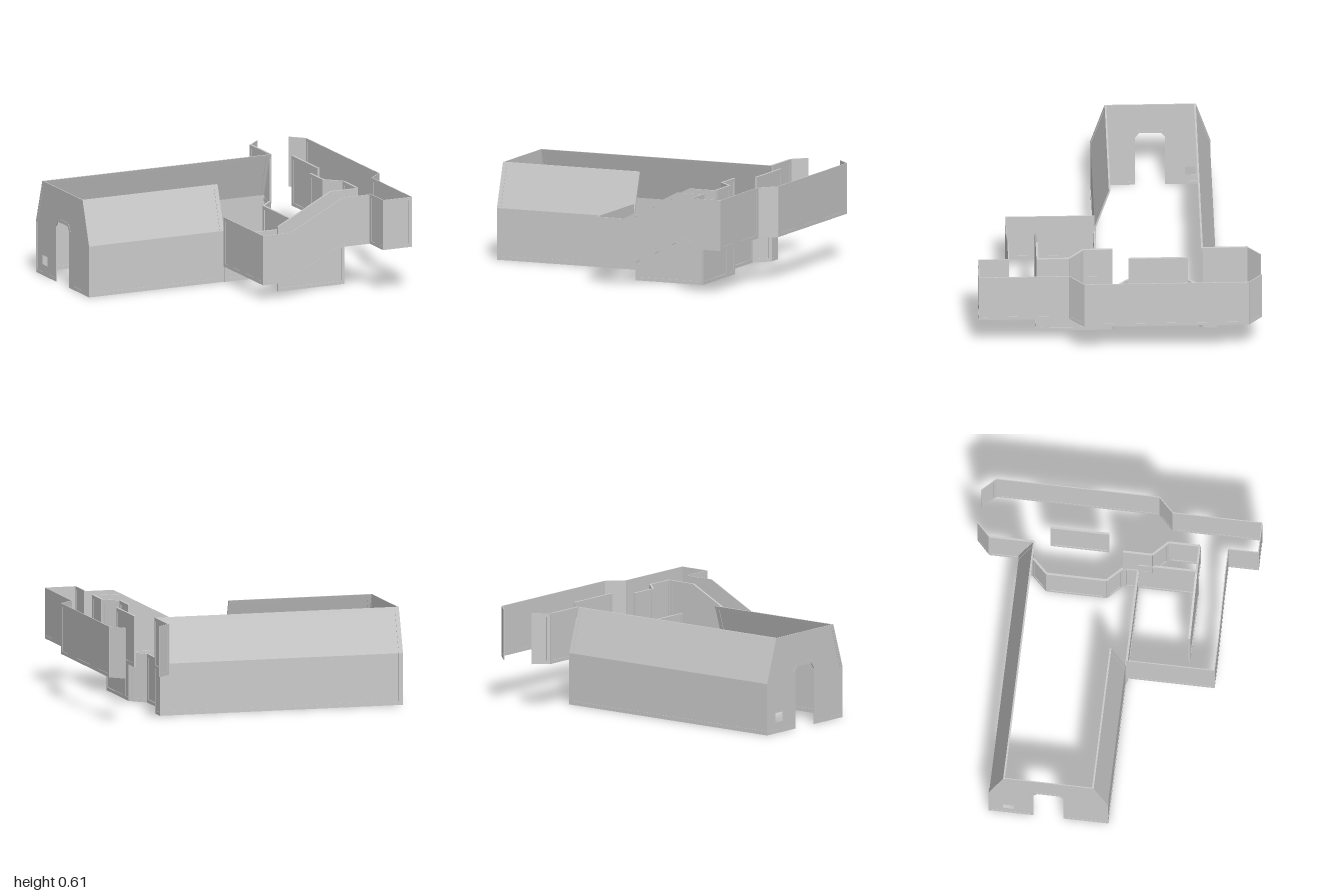
import * as THREE from 'three';

const grey = new THREE.MeshStandardMaterial({ color: 0xcccccc, side: THREE.DoubleSide, flatShading: true });

const toPath = (pts, P = THREE.Path) => new P(pts.map(([x, y]) => new THREE.Vector2(x, y)));

// Moves every edge of a counter-clockwise outline inward by d
function inset(pts, d) {
  const n = pts.length;
  const normal = (a, b) => {
    const l = Math.hypot(b[0] - a[0], b[1] - a[1]);
    return [-(b[1] - a[1]) / l, (b[0] - a[0]) / l];
  };
  return pts.map((p, i) => {
    const a = normal(pts[(i + n - 1) % n], p), b = normal(p, pts[(i + 1) % n]);
    const k = d / (1 + a[0] * b[0] + a[1] * b[1]);
    return [p[0] + (a[0] + b[0]) * k, p[1] + (a[1] + b[1]) * k];
  });
}

function extrude(shape, depth) {
  const g = new THREE.ExtrudeGeometry(shape, { depth, bevelEnabled: false });
  return g.translate(0, 0, -depth / 2);
}

// Upright wall from [x, z] to [x, z]: a thin sheet with a raised border.
// The outline is counter-clockwise in (distance along wall, height).
function wall(name, [x0, z0], [x1, z1], outline, thick = 0.008, hole = null) {
  const group = new THREE.Group();
  group.name = name;
  const sheet = toPath(outline, THREE.Shape);
  if (hole) sheet.holes.push(toPath(hole));
  const border = toPath(outline, THREE.Shape);
  border.holes.push(toPath(inset(outline, 0.022)));
  group.add(new THREE.Mesh(extrude(sheet, thick * 0.4), grey));
  group.add(new THREE.Mesh(extrude(border, thick), grey));
  group.children[0].name = name + 'Sheet';
  group.children[1].name = name + 'Border';
  group.position.set(x0, 0, z0);
  group.rotation.y = -Math.atan2(z1 - z0, x1 - x0);
  return group;
}

const rect = (w, y0, y1) => [[0, y0], [w, y0], [w, y1], [0, y1]];

// Row of rectangular walls along a plan path
function run(name, path, y0, y1, thick) {
  const group = new THREE.Group();
  group.name = name;
  for (let i = 0; i + 1 < path.length; i++) {
    const [a, b] = [path[i], path[i + 1]];
    const w = Math.hypot(b[0] - a[0], b[1] - a[1]);
    group.add(wall(`${name}${i + 1}`, a, b, rect(w, y0, y1), thick));
  }
  return group;
}

// Long hall side: vertical below, leaning inward above; s = +1 front, -1 back
function hallSide(name, x0, x1, s) {
  const group = new THREE.Group();
  group.name = name;
  const mid = -0.24;
  const strip = (label, outer, inner, a, b) => {
    const pts = [...outer, ...inner.reverse()].map(([d, y]) => [-(mid + s * d), y]);
    const g = extrude(toPath(pts, THREE.Shape), b - a);
    g.rotateY(Math.PI / 2).translate((a + b) / 2, 0, 0);
    const m = new THREE.Mesh(g, grey);
    m.name = label;
    group.add(m);
  };
  const line = (o) => [[0.38 - o, 0], [0.38 - o, 0.33], [0.288 - o, 0.612]];
  strip('hallSheet', line(0.003), line(0.007), x0, x1);
  for (const a of [x0, x1 - 0.028]) strip('hallEndRib', line(0), line(0.011), a, a + 0.028);
  strip('hallBottomRail', [[0.38, 0], [0.38, 0.025]], [[0.369, 0], [0.369, 0.025]], x0, x1);
  strip('hallTopRail', [[0.295, 0.59], [0.288, 0.612]], [[0.284, 0.59], [0.277, 0.612]], x0, x1);
  return group;
}

export function createModel() {
  const model = new THREE.Group();
  model.name = 'corridorWalls';
  const thin = 0.006, thick = 0.014;

  // Main hall
  model.add(hallSide('hallBackWall', -1, 0.605, -1));
  model.add(hallSide('hallFrontWall', -1, -0.05, 1));
  const endWall = [
    [0, 0], [0.285, 0], [0.285, 0.36], [0.31, 0.395], [0.45, 0.395], [0.475, 0.36],
    [0.475, 0], [0.76, 0], [0.76, 0.33], [0.668, 0.612], [0.092, 0.612], [0, 0.33],
  ];
  model.add(wall('hallEndWall', [-0.996, -0.62], [-0.996, 0.14], endWall, thin,
    [[0.09, 0.07], [0.16, 0.07], [0.16, 0.13], [0.09, 0.13]]));
  model.add(wall('hallCornerWall', [0.602, -0.62], [0.602, -0.53],
    [[0, 0], [0.09, 0], [0.09, 0.61], [0, 0.33]], thin));

  // Lower level: alcove at the hall's end and the room beside it
  model.add(run('alcoveWall',
    [[0.603, -0.527], [0.51, -0.43], [0.51, -0.05], [0.603, 0.043], [0.603, 0.14]], 0, 0.31, thick));
  model.add(run('roomSideWall', [[0.603, 0.14], [0.603, 0.52]], 0, 0.41, thick));
  model.add(run('roomBackWall', [[-0.05, 0.14], [0.603, 0.14]], 0, 0.3, thick));

  // Sloping passage: inner wall reaches the floor, outer wall follows the ramp
  model.add(wall('rampInnerWall', [0.14, 0.52], [0.7, 0.52],
    [[0, 0], [0.468, 0], [0.468, 0.29], [0.56, 0.29], [0.56, 0.61], [0.37, 0.61], [0, 0.42]], thick));
  model.add(wall('rampOuterWall', [-0.05, 0.702], [0.7, 0.702],
    [[0, 0.1], [0.19, 0.1], [0.56, 0.29], [0.75, 0.29], [0.75, 0.61], [0.56, 0.61], [0.19, 0.42], [0, 0.42]], thin));
  model.add(run('rampEndWall', [[-0.05, 0.14], [-0.05, 0.702]], 0.1, 0.42, thin));

  // Upper level passage
  model.add(run('upperOuterWall', [[0.7, 0.702], [0.7, 0.893], [0.9, 0.893], [0.9, 0.325],
    [0.995, 0.23], [0.995, -0.808], [0.913, -0.89]], 0.29, 0.614, thin));
  model.add(run('upperInnerWall',
    [[0.7, 0.52], [0.7, 0.322], [0.605, 0.23], [0.605, 0.043]], 0.29, 0.614, thick));
  model.add(run('upperBackWall', [[0.605, -0.527], [0.605, -0.808]], 0.29, 0.614, thick));
  model.add(run('upperBackCorner', [[0.605, -0.808], [0.69, -0.89]], 0.29, 0.614, thin));
  model.add(run('upperScreen', [[0.712, -0.43], [0.712, -0.055]], 0.29, 0.614, thick));

  return model;
}
